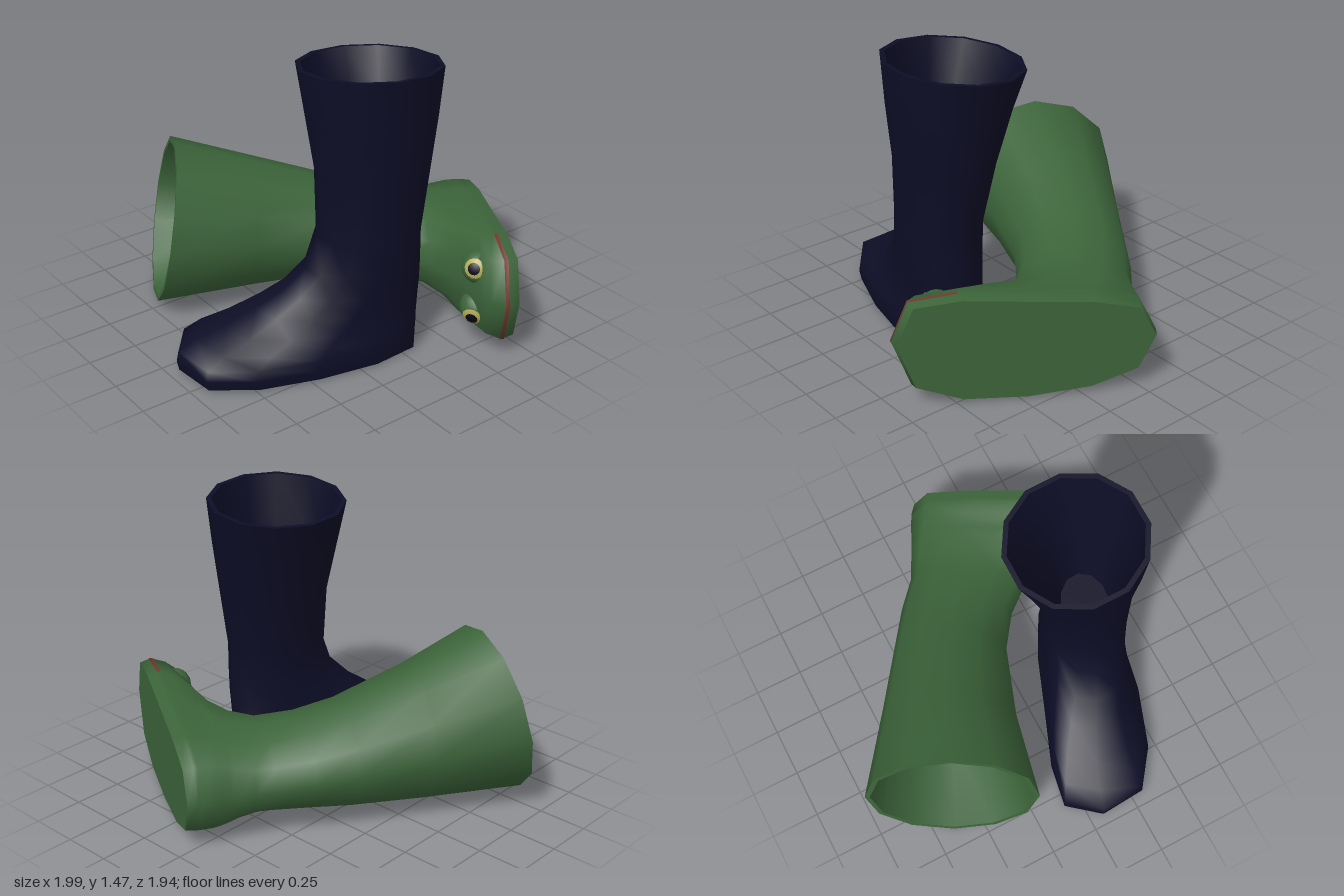
import * as THREE from 'three';

const SIDES = 12;
const mat = (name, color) => {
  const m = new THREE.MeshStandardMaterial({ color });
  m.name = name;
  return m;
};

// One cross-section: [height, back, front, backWidth, frontWidth, sideShift, footness]
// footness 1 gives a waisted, bent sole outline; 0 gives a plain oval.
function section([h, back, front, wb, wf, shift, k], bend, inset = 0, tilt = [0, 0]) {
  const mid = (back + front) / 2, half = (front - back) / 2 - inset;
  const pts = [];
  for (let i = 0; i < SIDES; i++) {
    const t = (i / SIDES) * Math.PI * 2, u = Math.cos(t), s = Math.sin(t);
    const w = (wb + (wf - wb) * (u + 1) / 2) * (1 - 0.2 * k * (1 - u * u)) - inset;
    const x = Math.sign(s) * Math.pow(Math.abs(s), 1 - 0.3 * k) * w;
    const curve = bend * k * (0.02 - 0.025 * u - 0.045 * u * u);
    pts.push(new THREE.Vector3(x + shift + curve, h + tilt[0] * x + tilt[1] * half * u, mid + half * u));
  }
  return pts;
}

// Skin a list of equal-length point loops (closed around unless open)
function loft(loops, closed = true) {
  const n = loops[0].length, pos = [], idx = [];
  loops.forEach(l => l.forEach(p => pos.push(p.x, p.y, p.z)));
  for (let j = 0; j < loops.length - 1; j++) {
    for (let i = 0; i < (closed ? n : n - 1); i++) {
      const a = j * n + i, b = j * n + (i + 1) % n;
      idx.push(a, b, a + n, b, b + n, a + n);
    }
  }
  const g = new THREE.BufferGeometry();
  g.setAttribute('position', new THREE.Float32BufferAttribute(pos, 3));
  g.setIndex(idx);
  g.computeVertexNormals();
  return g;
}

// Loop collapsed to its middle, used to close soles and floors
function centre(loop) {
  const c = new THREE.Vector3();
  loop.forEach(p => c.addScaledVector(p, 1 / loop.length));
  return loop.map(() => c.clone());
}

function add(parent, name, geometry, material) {
  const mesh = new THREE.Mesh(geometry, material);
  mesh.name = name;
  parent.add(mesh);
  return mesh;
}

// Boot in its own frame: sole on y = 0, toe towards +z
function makeBoot(name, rows, bend, tilt, material) {
  const boot = new THREE.Group();
  boot.name = name;
  const last = rows.length - 1;
  const outer = rows.map((r, i) => section(r, bend, 0, i === last ? tilt : [0, 0]));
  add(boot, 'upper', loft(outer), material);
  add(boot, 'sole', loft([centre(outer[0]), outer[0]]), material);
  const inner = [];
  for (let i = last; i >= last - 3; i--) {
    inner.push(section(rows[i], bend, 0.025 + 0.02 * (last - i), i === last ? tilt : [0, 0]));
  }
  add(boot, 'rim', loft([outer[last], inner[0]]), material);
  add(boot, 'lining', loft(inner), material);
  const bottom = inner[inner.length - 1];
  add(boot, 'insole', loft([bottom, centre(bottom)]), material);
  return boot;
}

export function createModel() {
  const navy = mat('navy rubber', 0x0d0d26);
  const green = mat('green rubber', 0x3c643a);
  const yellow = mat('yellow eye', 0xb5ab55);
  const black = mat('black pupil', 0x08081a);
  const red = mat('red mouth', 0x73392f);
  const model = new THREE.Group();
  model.name = 'pairOfBoots';

  // Standing boot
  const standing = makeBoot('standingBoot', [
    [0, -0.2, 1.0, 0.27, 0.35, 0, 1],
    [0.05, -0.2, 1.01, 0.28, 0.36, 0, 1],
    [0.1, -0.2, 1.0, 0.28, 0.35, 0, 1],
    [0.15, -0.2, 0.91, 0.27, 0.32, 0, 1],
    [0.2, -0.2, 0.77, 0.25, 0.28, 0, 0.8],
    [0.28, -0.2, 0.62, 0.23, 0.24, 0.01, 0.5],
    [0.36, -0.2, 0.5, 0.22, 0.21, 0.02, 0.2],
    [0.47, -0.195, 0.39, 0.21, 0.2, 0.03, 0],
    [0.63, -0.19, 0.33, 0.21, 0.21, 0.03, 0],
    [0.93, -0.235, 0.325, 0.245, 0.245, 0.005, 0],
    [1.2, -0.275, 0.36, 0.3, 0.3, -0.023, 0],
    [1.425, -0.305, 0.385, 0.345, 0.345, -0.05, 0],
  ], 1, [0.1, 0.03], navy);
  standing.position.set(0.4, 0, 0);
  standing.rotation.y = -0.284;
  model.add(standing);

  // Boot lying on its side
  const lyingRows = [
    [0, -0.2, 1.0, 0.27, 0.36, 0, 1],
    [0.05, -0.21, 1.02, 0.28, 0.37, 0, 1],
    [0.07, -0.21, 1.02, 0.28, 0.37, 0, 1],
    [0.13, -0.21, 0.98, 0.28, 0.35, 0, 1],
    [0.17, -0.205, 0.92, 0.27, 0.32, 0, 1],
    [0.21, -0.2, 0.8, 0.26, 0.29, 0, 0.8],
    [0.25, -0.2, 0.68, 0.24, 0.25, 0, 0.5],
    [0.33, -0.195, 0.53, 0.22, 0.22, 0, 0.2],
    [0.44, -0.19, 0.42, 0.21, 0.21, 0, 0],
    [0.62, -0.225, 0.355, 0.225, 0.225, 0.02, 0],
    [0.82, -0.245, 0.335, 0.26, 0.26, 0.04, 0],
    [1.19, -0.28, 0.4, 0.335, 0.335, 0.09, 0],
    [1.64, -0.333, 0.533, 0.415, 0.415, 0.145, 0],
  ];
  const lying = makeBoot('lyingBoot', lyingRows, -1, [-0.18, -0.05], green);

  // Mouth line wrapped round the toe
  const mouthLoops = [lyingRows[1], lyingRows[2]].map(r => {
    const p = section(r, -1, -0.004);
    return [-2, -1, 0, 1, 2].map(i => p[(i + SIDES) % SIDES]);
  });
  add(lying, 'mouth', loft(mouthLoops, false), red);

  // Bulging eyes on the toe
  for (const side of [1, -1]) {
    const eye = new THREE.Group();
    eye.name = side > 0 ? 'leftEye' : 'rightEye';
    eye.position.set(0.04 + side * 0.11, 0.155, 0.8);
    eye.quaternion.setFromUnitVectors(new THREE.Vector3(0, 1, 0),
      new THREE.Vector3(side * 0.3, 0.47, 0.79).normalize());
    add(eye, 'eyeBulge', new THREE.SphereGeometry(0.085, 16, 12), green);
    const cap = (r, theta) => new THREE.SphereGeometry(r, 14, 4, 0, Math.PI * 2, 0, theta);
    add(eye, 'eyeWhite', cap(0.088, 0.6), yellow);
    add(eye, 'pupil', cap(0.091, 0.34), black);
    lying.add(eye);
  }

  const basis = new THREE.Matrix4().makeBasis(
    new THREE.Vector3(0, 1, 0),
    new THREE.Vector3(-0.502, 0, 0.865),
    new THREE.Vector3(0.865, 0, 0.502));
  lying.quaternion.setFromRotationMatrix(basis);
  lying.position.set(0.123, 0.27, -0.88);
  model.add(lying);
  return model;
}
